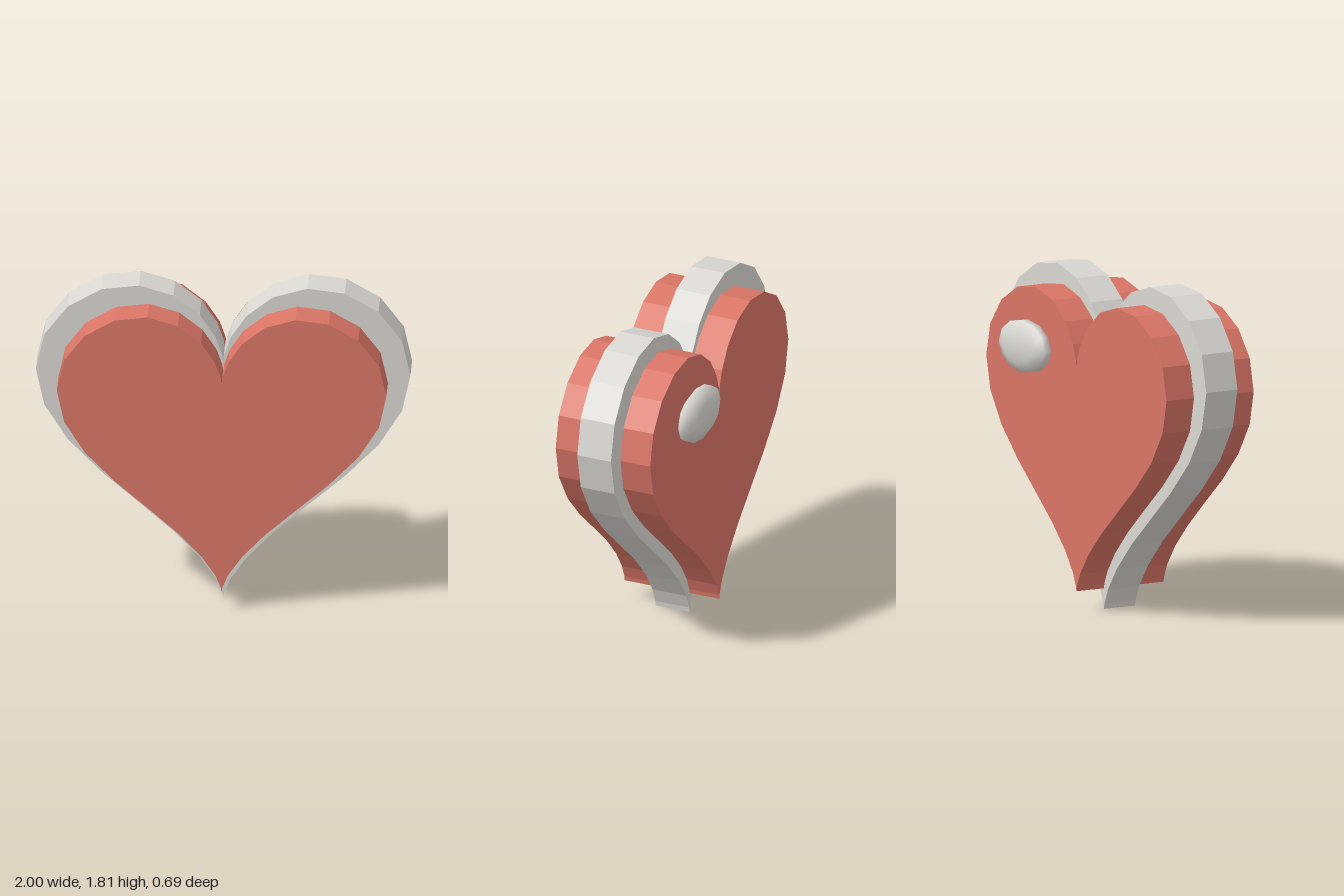
import * as THREE from 'three';

const red = new THREE.MeshStandardMaterial({ name: 'coralRed', color: 0xd97566 });
const grey = new THREE.MeshStandardMaterial({ name: 'warmGrey', color: 0xd9d7d2 });

// Heart slab: classic heart curve sampled every 10 degrees, extruded from zBack to zFront
function heartSlab(name, material, halfWidth, centreY, zBack, zFront) {
  const points = [];
  for (let i = 0; i < 36; i++) {
    const t = (i * Math.PI) / 18;
    const x = 16 * Math.sin(t) ** 3;
    const y = 13 * Math.cos(t) - 5 * Math.cos(2 * t) - 2 * Math.cos(3 * t) - Math.cos(4 * t);
    points.push(new THREE.Vector2((x * halfWidth) / 16, (y * halfWidth) / 16));
  }
  const geometry = new THREE.ExtrudeGeometry(new THREE.Shape(points), {
    depth: zFront - zBack,
    bevelEnabled: false,
  });
  const mesh = new THREE.Mesh(geometry, material);
  mesh.name = name;
  mesh.position.set(0, centreY, zBack);
  return mesh;
}

export function createModel() {
  const model = new THREE.Group();
  model.name = 'heart';

  // Thick inner heart and the wider band around its middle
  model.add(heartSlab('heartBody', red, 0.88, 1.047, -0.21, 0.345));
  model.add(heartSlab('heartBand', grey, 1, 1.0625, -0.035, 0.163));

  // Smooth oval stud on the back, poles along z
  const oval = new THREE.SphereGeometry(1, 12, 5);
  oval.rotateX(Math.PI / 2);
  oval.scale(0.233, 0.149, 0.07);
  const stud = new THREE.Mesh(oval, grey);
  stud.name = 'backStud';
  stud.position.set(0.4, 1.388, -0.277);
  model.add(stud);

  return model;
}
